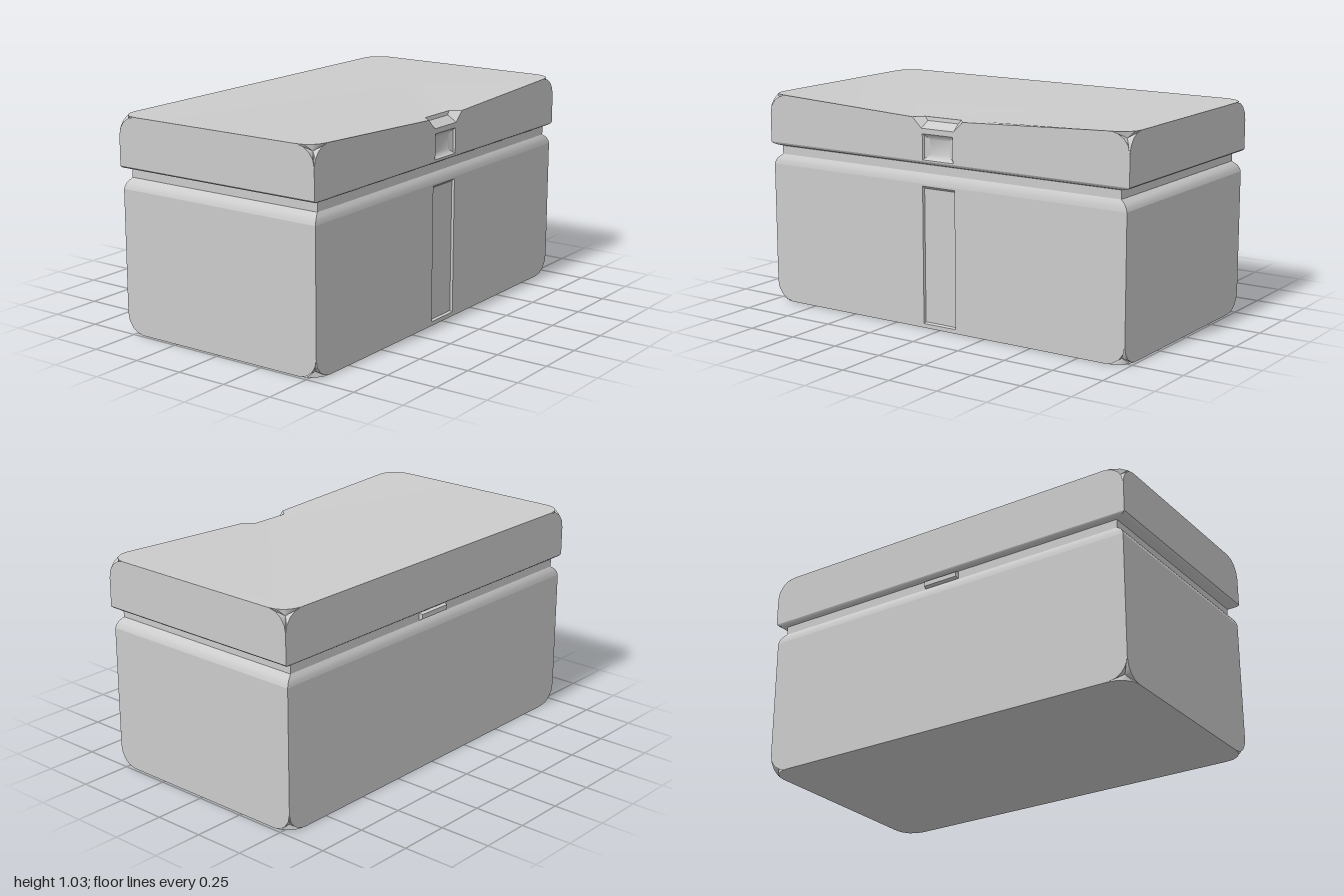
import * as THREE from 'three';
import { toCreasedNormals } from 'three/addons/utils/BufferGeometryUtils.js';

const grey = new THREE.MeshStandardMaterial({ color: 0xcccccc, side: THREE.DoubleSide });
const V = (x, y, z) => new THREE.Vector3(x, y, z);
const STEPS = 4;

function addMesh(group, name, geometry) {
  const mesh = new THREE.Mesh(geometry, grey);
  mesh.name = name;
  group.add(mesh);
}

function fromTriangles(points) {
  const g = new THREE.BufferGeometry().setFromPoints(points);
  g.computeVertexNormals();
  return toCreasedNormals(g, 0.6);
}

// Skin between closed rings, with an optional cap over the last one
function loft(rings, cap = false) {
  const tri = [];
  for (let r = 0; r + 1 < rings.length; r++) {
    const a = rings[r], b = rings[r + 1], n = a.length;
    for (let i = 0; i < n; i++) {
      const j = (i + 1) % n;
      tri.push(a[i], a[j], b[j], a[i], b[j], b[i]);
    }
  }
  const last = rings[rings.length - 1];
  if (cap) for (let i = 1; i + 1 < last.length; i++) tri.push(last[0], last[i], last[i + 1]);
  return fromTriangles(tri);
}

// Horizontal and upright rectangles as rings
const levelRing = (hx, hz, y) => [V(-hx, y, hz), V(hx, y, hz), V(hx, y, -hz), V(-hx, y, -hz)];
const uprightRing = (hw, y0, y1, z) => [V(-hw, y0, z), V(hw, y0, z), V(hw, y1, z), V(-hw, y1, z)];

// Quarter arc as distances from the corner, along the first and second edge
const arc = Array.from({ length: STEPS + 1 }, (_, i) => {
  const t = (i / STEPS) * Math.PI / 2;
  return [1 - Math.sin(t), 1 - Math.cos(t)];
});

// Upright wall outline: square at the rim, rounded at the outer end
function wallShape(hw, rim, end, rw, rh, middle = []) {
  const s = Math.sign(end - rim);
  const right = arc.map(([u, v]) => [hw - rw * u, end - s * rh * v]);
  const left = right.map(([x, y]) => [-x, y]).reverse();
  const pts = [[-hw, rim], ...left, ...middle, ...right, [hw, rim]];
  return new THREE.Shape(pts.map(([x, y]) => new THREE.Vector2(x, y)));
}

function rectHole(shape, hw, y0, y1) {
  shape.holes.push(new THREE.Path([[-hw, y0], [-hw, y1], [hw, y1], [hw, y0]]
    .map(([x, y]) => new THREE.Vector2(x, y))));
}

// Rounded rectangle in plan; 'middle' replaces the middle of the front edge
function planShape(hx, hz, rx, rz, middle = []) {
  const q = arc.map(([u, v]) => [hx - rx * u, hz - rz * v]);
  const rev = [...q].reverse();
  const pts = [...q, ...rev.map(([x, z]) => [x, -z]), ...q.map(([x, z]) => [-x, -z]),
    ...rev.map(([x, z]) => [-x, z]), ...middle];
  return new THREE.Shape(pts.map(([x, z]) => new THREE.Vector2(x, -z)));
}

// The softened patch where three faces meet
function cornerPatch(hx, end, hz, r, sx, sy, sz) {
  const at = (x, y, z) => V(sx * (hx - r.x * x), end - sy * r.y * y, sz * (hz - r.z * z));
  const loop = [
    ...arc.map(([u, v]) => at(u, v, 0)),
    ...arc.map(([u, v]) => at(0, u, v)),
    ...arc.map(([u, v]) => at(v, 0, u)),
  ];
  const centre = at(0.3, 0.3, 0.3), tri = [];
  for (let i = 0; i < loop.length; i++) {
    const a = loop[i], b = loop[(i + 1) % loop.length];
    if (a.distanceTo(b) < 1e-6) continue;
    tri.push(centre, ...(sx * sy * sz > 0 ? [a, b] : [b, a]));
  }
  return fromTriangles(tri);
}

// Four walls and four corner patches of one half of the box
function addShell(group, name, hx, hz, rim, end, r, frontShape) {
  const sy = Math.sign(end - rim);
  addMesh(group, name + 'Front', new THREE.ShapeGeometry(frontShape).translate(0, 0, hz));
  addMesh(group, name + 'Back', new THREE.ShapeGeometry(wallShape(hx, rim, end, r.x, r.y))
    .rotateY(Math.PI).translate(0, 0, -hz));
  for (const sx of [-1, 1]) {
    addMesh(group, name + 'Side', new THREE.ShapeGeometry(wallShape(hz, rim, end, r.z, r.y))
      .rotateY(sx * Math.PI / 2).translate(sx * hx, 0, 0));
    for (const sz of [-1, 1]) addMesh(group, name + 'Corner', cornerPatch(hx, end, hz, r, sx, sy, sz));
  }
}

// Rim rolling in towards the neck; profile pairs are [inset share, y]
function addRim(group, name, hx, hz, neckX, neckZ, profile) {
  addMesh(group, name, loft(profile.map(([t, y]) =>
    levelRing(hx + (neckX - hx) * t, hz + (neckZ - hz) * t, y))));
}

export function createModel() {
  const model = new THREE.Group();
  model.name = 'box';
  const neckX = 0.948, neckZ = 0.525;
  const r = V(0.1, 0.095, 0.095);

  // Base with a long sunken panel on the front
  const base = new THREE.Group();
  base.name = 'base';
  const bx = 0.987, bz = 0.544;
  const baseFront = wallShape(bx, 0.685, 0, r.x, r.y);
  rectHole(baseFront, 0.09, 0.02, 0.675);
  addShell(base, 'base', bx, bz, 0.685, 0, r, baseFront);
  addMesh(base, 'bottom', new THREE.ShapeGeometry(planShape(bx, bz, r.x, r.z)).rotateX(Math.PI / 2));
  addMesh(base, 'frontPanel', loft([
    uprightRing(0.09, 0.02, 0.675, bz), uprightRing(0.087, 0.026, 0.664, bz - 0.012)], true));
  addRim(base, 'baseRim', bx, bz, neckX, neckZ,
    [[0, 0.685], [0.12, 0.7], [0.4, 0.717], [1, 0.734]]);
  model.add(base);

  // Neck between base and lid
  addMesh(model, 'neck', new THREE.BoxGeometry(neckX * 2, 0.05, neckZ * 2).translate(0, 0.754, 0));

  // Lid: the top sinks slightly towards a thumb notch at the front
  const lid = new THREE.Group();
  lid.name = 'lid';
  const lx = 1, lz = 0.549, top = 1.028, dip = 0.993;
  const lidFront = wallShape(lx, 0.793, top, r.x, r.y,
    [[-0.14, dip], [-0.09, 0.945], [0.09, 0.945], [0.14, dip]]);
  rectHole(lidFront, 0.085, 0.799, 0.92);
  addShell(lid, 'lid', lx, lz, 0.793, top, r, lidFront);
  const topGeo = new THREE.ShapeGeometry(planShape(lx, lz, r.x, r.z,
    [[-0.14, lz], [-0.1, 0.502], [0.1, 0.502], [0.14, lz]])).rotateX(-Math.PI / 2);
  const p = topGeo.attributes.position;
  for (let i = 0; i < p.count; i++) {
    p.setY(i, Math.abs(p.getX(i)) < 0.2 && p.getZ(i) > 0.4 ? dip : top);
  }
  topGeo.computeVertexNormals();
  addMesh(lid, 'lidTop', toCreasedNormals(topGeo, 0.6));
  addRim(lid, 'lidRim', lx, lz, neckX, neckZ,
    [[1, 0.775], [0.5, 0.78], [0.15, 0.786], [0, 0.793]]);

  // Thumb notch: short back wall, sloping floor and two cheeks
  const half = (s) => ({
    back: V(s * 0.1, dip, 0.502), low: V(s * 0.085, 0.975, 0.505),
    front: V(s * 0.14, dip, lz), lip: V(s * 0.09, 0.945, lz),
  });
  const L = half(-1), R = half(1);
  const quad = (a, b, c, d) => [a, b, c, a, c, d];
  addMesh(lid, 'thumbNotch', fromTriangles([
    ...quad(L.low, R.low, R.back, L.back),
    ...quad(L.lip, R.lip, R.low, L.low),
    ...quad(L.front, L.lip, L.low, L.back),
    ...quad(R.lip, R.front, R.back, R.low),
  ]));

  // Sunken catch plate below the notch
  addMesh(lid, 'catchPlate', loft([
    uprightRing(0.085, 0.799, 0.92, lz), uprightRing(0.08, 0.805, 0.912, lz - 0.01),
    uprightRing(0.055, 0.822, 0.895, lz - 0.02)], true));
  model.add(lid);

  // Hinge knuckle at the back of the neck
  addMesh(model, 'hinge', loft([
    uprightRing(0.095, 0.735, 0.774, 0.52), uprightRing(0.09, 0.744, 0.767, 0.541)], true)
    .rotateY(Math.PI));
  return model;
}
